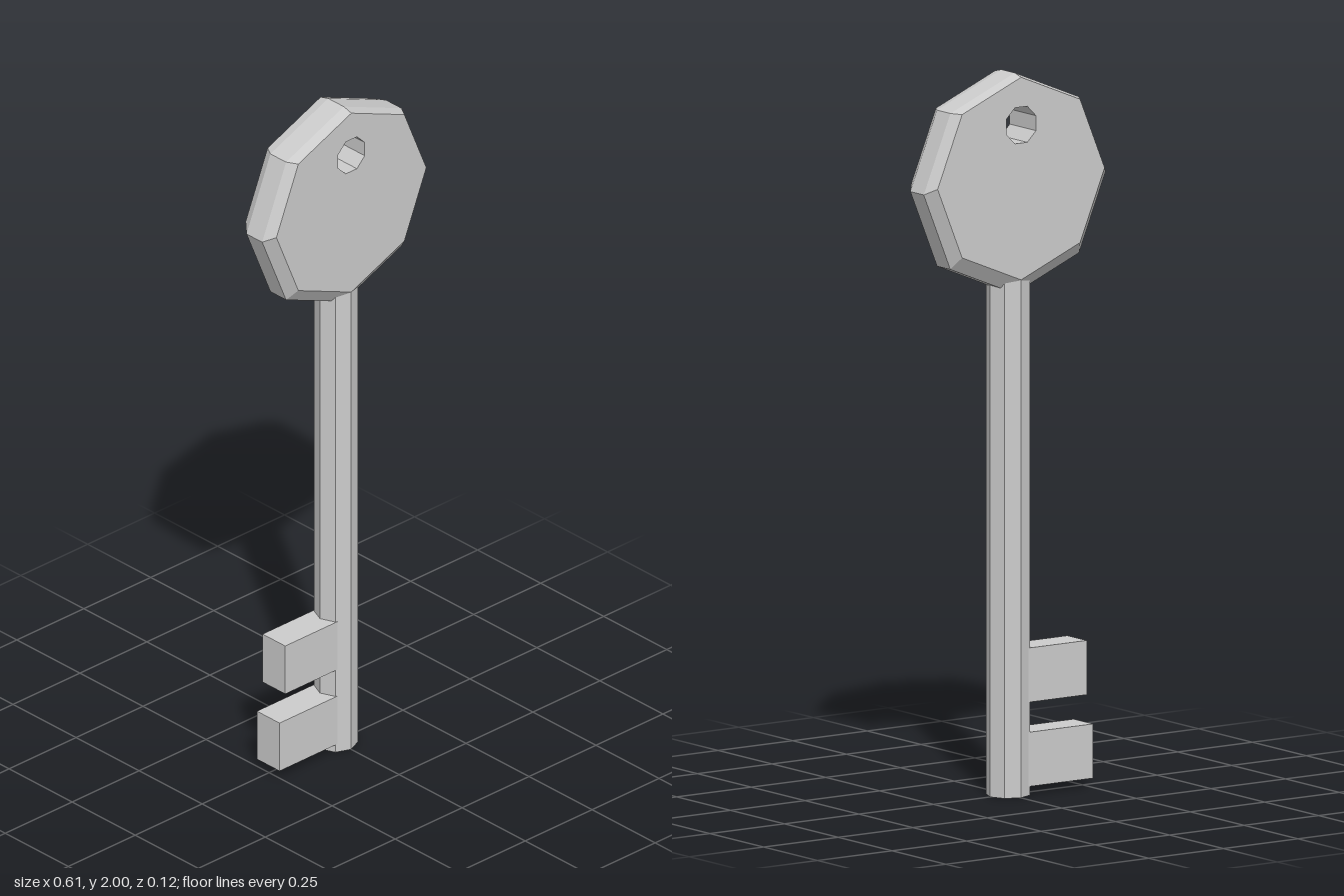
import * as THREE from 'three';

const material = new THREE.MeshStandardMaterial({ color: 0xcccccc, flatShading: true });

function addPart(group, name, geometry, x = 0, y = 0, z = 0) {
  const mesh = new THREE.Mesh(geometry, material);
  mesh.name = name;
  mesh.position.set(x, y, z);
  group.add(mesh);
}

// Corners of a regular octagon
function octagon(cx, cy, r, turn = 0) {
  return Array.from({ length: 8 }, (_, i) => {
    const a = turn + (i * Math.PI) / 4;
    return new THREE.Vector2(cx + r * Math.cos(a), cy + r * Math.sin(a));
  });
}

// Octagonal plate with a hole; the rim swells outward between the two faces
function headGeometry() {
  const faceY = 1.712, faceR = 0.28, rimY = 1.695, rimR = 0.305;
  const half = 0.061, rimHalf = 0.031;
  const shape = new THREE.Shape(octagon(0, faceY, faceR));
  shape.holes.push(new THREE.Path(octagon(0, 1.86, 0.054, Math.PI / 8)));
  const geometry = new THREE.ExtrudeGeometry(shape, { depth: 2 * half, steps: 3, bevelEnabled: false });
  geometry.translate(0, 0, -half);
  const p = geometry.attributes.position;
  for (let i = 0; i < p.count; i++) {
    const x = p.getX(i), y = p.getY(i), z = p.getZ(i);
    if (Math.abs(z) > half * 0.9) continue;
    p.setZ(i, Math.sign(z) * rimHalf);
    if (Math.hypot(x, y - faceY) > 0.25) {
      p.setX(i, (x * rimR) / faceR);
      p.setY(i, rimY + ((y - faceY) * rimR) / faceR);
    }
  }
  geometry.computeVertexNormals();
  return geometry;
}

export function createModel() {
  const key = new THREE.Group();
  key.name = 'key';

  addPart(key, 'head', headGeometry());

  // Eight-sided shaft, its top sunk into the head
  const shaftHeight = 1.45;
  addPart(key, 'shaft', new THREE.CylinderGeometry(0.06, 0.06, shaftHeight, 8), 0, shaftHeight / 2, 0);

  // Two teeth on the right side: [name, outer x, bottom y, top y]
  const teeth = [
    ['upperTooth', -0.232, 0.258, 0.408],
    ['lowerTooth', -0.253, 0.025, 0.175],
  ];
  for (const [name, x, bottom, top] of teeth) {
    const inner = -0.02;
    const box = new THREE.BoxGeometry(inner - x, top - bottom, 0.09);
    addPart(key, name, box, (inner + x) / 2, (bottom + top) / 2, 0);
  }
  return key;
}
